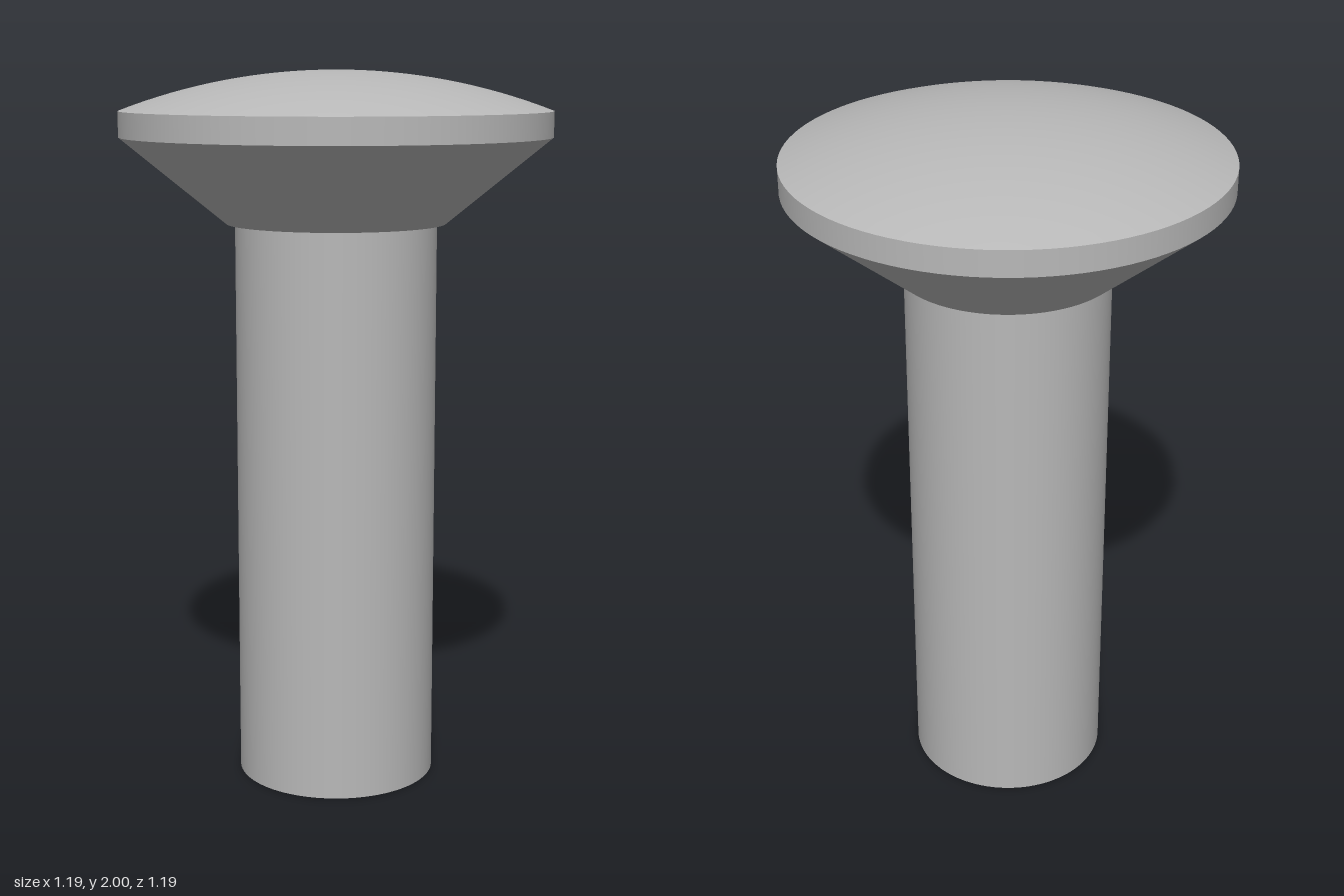
import * as THREE from 'three';

const SEGMENTS = 96;
const SHAFT_R = 0.28, NECK_R = 0.305, HEAD_R = 0.595;
const NECK_Y = 1.583, RIM_LOW = 1.82, RIM_HIGH = 1.89, TOP = 2;

export function createModel() {
  const model = new THREE.Group();
  model.name = 'rivet';
  const steel = new THREE.MeshStandardMaterial({ color: 0xb8b8b8 });
  steel.name = 'grey steel';

  // Each smooth band is its own lathe, so the edges between bands stay sharp
  function band(name, parent, points) {
    const profile = points.map(([r, y]) => new THREE.Vector2(r, y));
    const mesh = new THREE.Mesh(new THREE.LatheGeometry(profile, SEGMENTS), steel);
    mesh.name = name;
    parent.add(mesh);
  }

  // Shaft
  const shaft = new THREE.Group();
  shaft.name = 'shaft';
  band('shaftEnd', shaft, [[0, 0], [SHAFT_R, 0]]);
  band('shaftWall', shaft, [[SHAFT_R, 0], [SHAFT_R, NECK_Y]]);

  // Countersunk head: small shoulder, cone and straight rim
  const head = new THREE.Group();
  head.name = 'head';
  band('shoulder', head, [[SHAFT_R, NECK_Y], [NECK_R, NECK_Y]]);
  band('countersink', head, [[NECK_R, NECK_Y], [HEAD_R, RIM_LOW]]);
  band('rim', head, [[HEAD_R, RIM_LOW], [HEAD_R, RIM_HIGH]]);

  // Shallow spherical dome spanning the rim
  const rise = TOP - RIM_HIGH;
  const radius = (HEAD_R ** 2 + rise ** 2) / (2 * rise);
  const sweep = Math.asin(HEAD_R / radius);
  const arc = [];
  for (let i = 0; i <= 16; i++) {
    const a = sweep * (1 - i / 16);
    arc.push([radius * Math.sin(a), TOP - radius * (1 - Math.cos(a))]);
  }
  band('dome', head, arc);

  model.add(shaft, head);
  return model;
}
